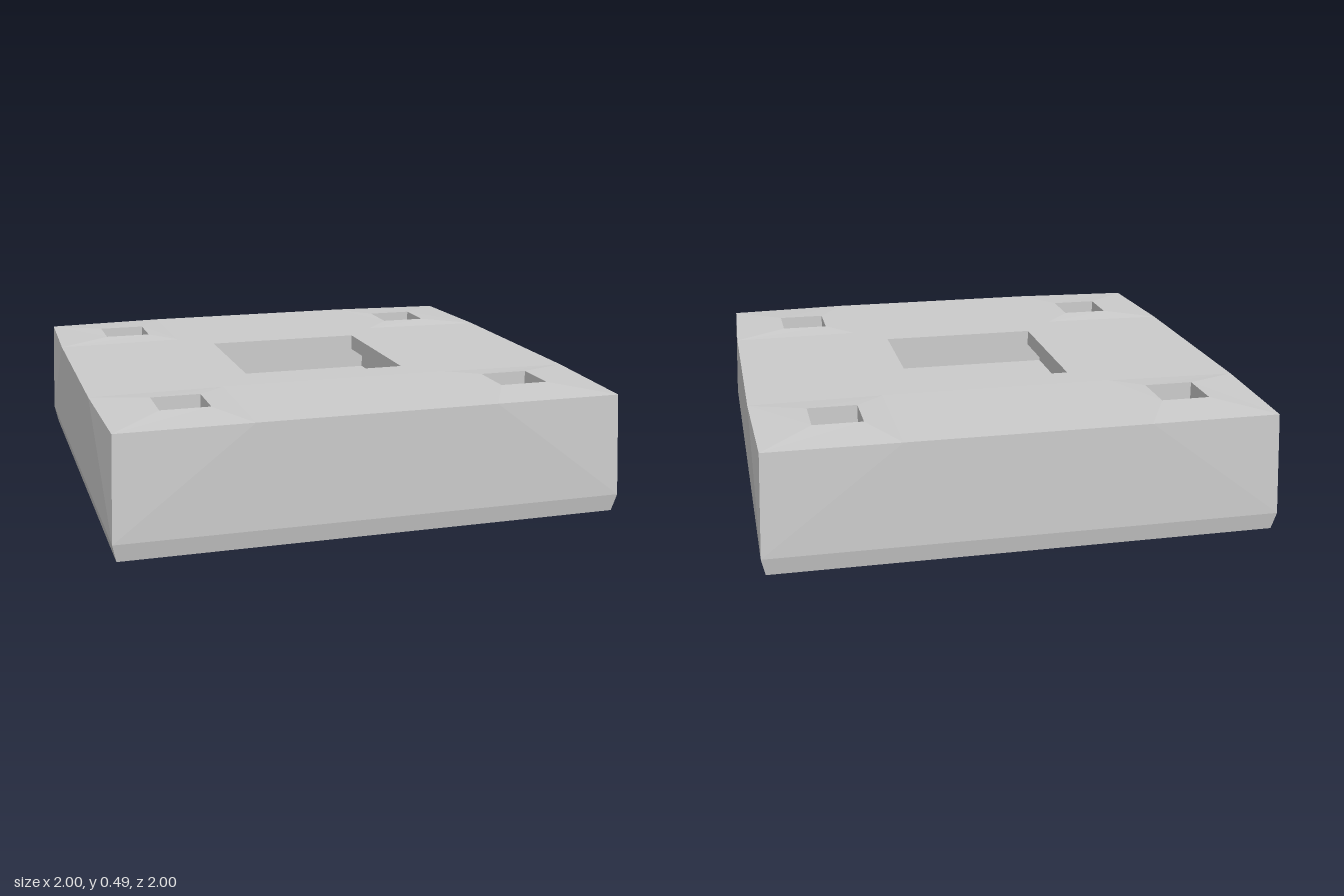
import * as THREE from 'three';

const A = 0.47;  // inner limit of the raised corner pads
const C = 0.985; // pulled-in corners of the top and bottom outlines
const H = 0.33;  // half opening of the centre recess
const W = 0.41;  // half width of the recess below its lip
const [R0, R1] = [0.585, 0.78]; // corner pocket opening

const material = new THREE.MeshStandardMaterial({ color: 0xcccccc, flatShading: true });

// Fan each convex face into triangles
function facesMesh(name, faces) {
  const pos = [];
  for (const f of faces) {
    for (let i = 1; i < f.length - 1; i++) pos.push(...f[0], ...f[i], ...f[i + 1]);
  }
  const geo = new THREE.BufferGeometry();
  geo.setAttribute('position', new THREE.Float32BufferAttribute(pos, 3));
  geo.computeVertexNormals();
  const mesh = new THREE.Mesh(geo, material);
  mesh.name = name;
  return mesh;
}

// Strip of quads joining successive rows of points
function bridge(rows, closed) {
  const faces = [];
  for (let r = 0; r < rows.length - 1; r++) {
    const p = rows[r], q = rows[r + 1], n = p.length;
    for (let i = 0; i < (closed ? n : n - 1); i++) {
      const j = (i + 1) % n;
      faces.push([p[i], p[j], q[j], q[i]]);
    }
  }
  return faces;
}

const square = (y) => [[R0, y, R0], [R0, y, R1], [R1, y, R1], [R1, y, R0]];
const edge = (s, y) => [[-s, y, s], [s, y, s]];

export function createModel() {
  const group = new THREE.Group();
  group.name = 'slab';

  // Outer wall with a bevelled foot, and its share of the underside
  const low = edge(1, 0.07), top = [[-A, 0.48, 1], [A, 0.48, 1]];
  const wall = [
    ...bridge([edge(C, 0), low, top]),
    [low[1], [C, 0.475, C], top[1]],
    [low[0], top[0], [-C, 0.475, C]],
    [[C, 0, C], [-C, 0, C], [0, 0, 0]],
  ];

  // Flat top between the corner pads and the recess
  const deck = bridge([top, edge(A, 0.485), edge(H, 0.485)]);

  // Sloping pad that rises to the rim of a corner pocket
  const padBase = [[A, 0.485, A], [A, 0.48, 1], [C, 0.475, C], [1, 0.48, A]];
  const pad = bridge([padBase, square(0.492)], true);

  // Small square pocket
  const floor = square(0.4);
  const pocket = [...bridge([square(0.492), floor], true), floor];

  // Centre recess: lip, undercut, wall and floor
  const recess = [
    ...bridge([edge(H, 0.485), edge(H, 0.42), edge(W, 0.42), edge(W, 0.315)]),
    [...edge(W, 0.315), [0, 0.315, 0]],
  ];

  // Four identical quarters around the vertical axis
  for (let k = 0; k < 4; k++) {
    const quarter = new THREE.Group();
    quarter.name = 'quarter' + (k + 1);
    quarter.add(
      facesMesh('outerWall', wall),
      facesMesh('topDeck', deck),
      facesMesh('cornerPad', pad),
      facesMesh('cornerPocket', pocket),
      facesMesh('centreRecess', recess),
    );
    quarter.rotation.y = k * Math.PI / 2;
    group.add(quarter);
  }
  return group;
}
